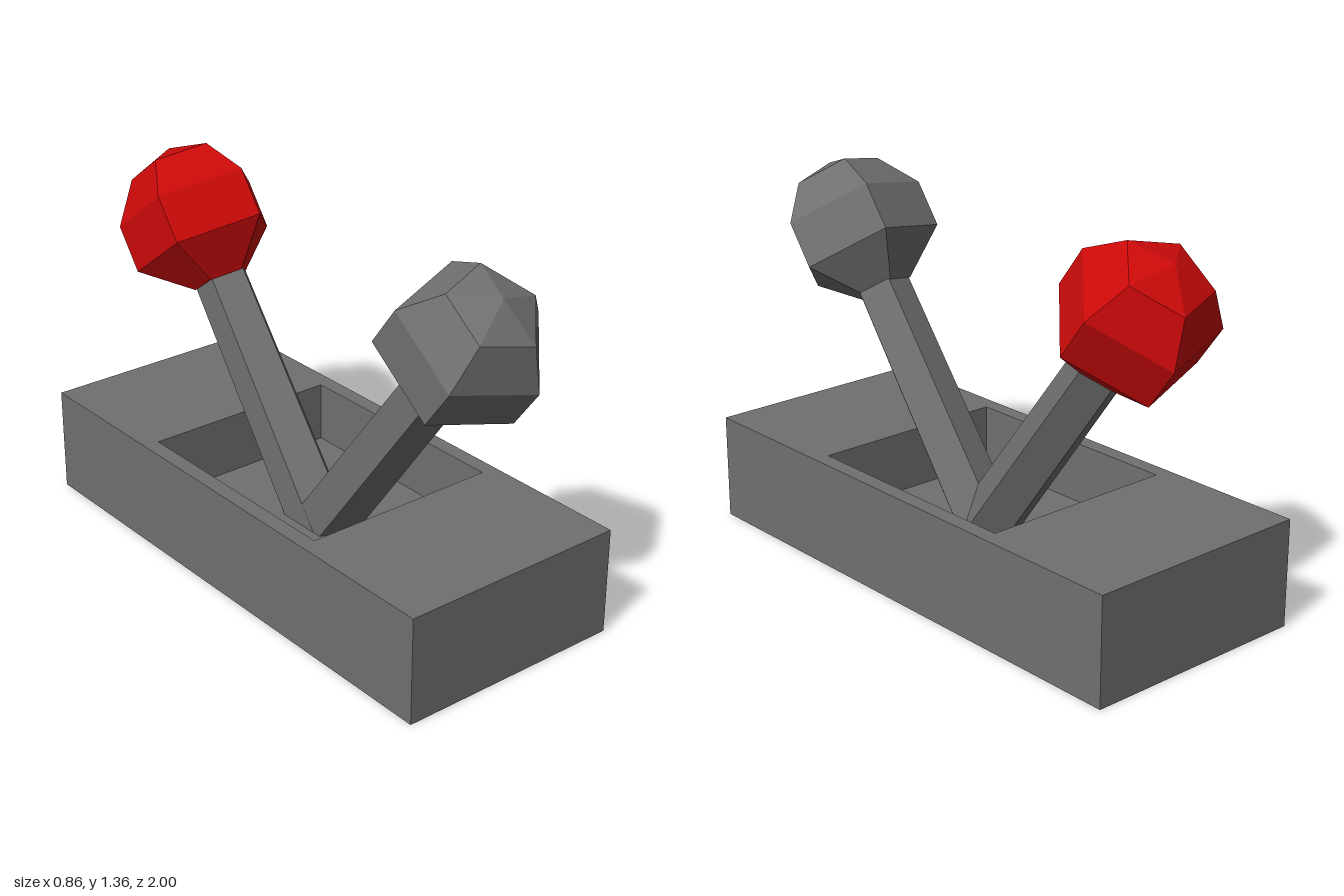
import * as THREE from 'three';

const grey = new THREE.MeshStandardMaterial({ color: 0x707070, flatShading: true });
const red = new THREE.MeshStandardMaterial({ color: 0xca0909, flatShading: true });

const HEIGHT = 0.39, FLOOR = 0.165;     // base top and recess floor
const TILT = Math.atan2(0.6, 0.8);      // lean of each lever
const MIDDLE = 0.034;                   // z where the two levers cross

function addMesh(parent, name, geometry, material) {
  const mesh = new THREE.Mesh(geometry, material);
  mesh.name = name;
  parent.add(mesh);
  return mesh;
}

// Five-sided solid of revolution with one corner on +x
function pentagonLathe(profile) {
  const points = profile.map(([r, y]) => new THREE.Vector2(r, y));
  return new THREE.LatheGeometry(points, 5, Math.PI / 2);
}

function rectangle(path, x0, x1, z) {
  path.moveTo(x0, -z);
  path.lineTo(x1, -z);
  path.lineTo(x1, z);
  path.lineTo(x0, z);
  path.closePath();
  return path;
}

// Solid slab with a rectangular frame on top, forming the recess
function createBase() {
  const base = new THREE.Group();
  base.name = 'base';
  const slab = new THREE.BoxGeometry(0.86, FLOOR, 2).translate(0, FLOOR / 2, 0);
  addMesh(base, 'baseSlab', slab, grey);

  const outline = rectangle(new THREE.Shape(), -0.43, 0.43, 1);
  outline.holes.push(rectangle(new THREE.Path(), -0.372, 0.372, 0.445));
  const frame = new THREE.ExtrudeGeometry(outline, { depth: HEIGHT - FLOOR, bevelEnabled: false });
  frame.rotateX(-Math.PI / 2).translate(0, FLOOR, 0);
  addMesh(base, 'recessFrame', frame, grey);
  return base;
}

// Shaft and faceted knob, leaning to the front (side 1) or back (side -1)
function createLever(name, side, knobMaterial) {
  const lever = new THREE.Group();
  lever.name = name;
  const shaft = pentagonLathe([[0, 0.1], [0.113, 0.1], [0.102, 1.09]]);
  addMesh(lever, 'shaft', shaft, grey).position.x = 0.006;

  // Knob: sphere rings every 36 degrees, its lowest ring narrowed to the shaft
  const R = 0.284, centre = 1.305;
  const profile = [[0.102, 1.076]];
  for (let i = 2; i <= 5; i++) {
    const angle = i * Math.PI / 5;
    profile.push([Math.max(0, R * Math.sin(angle)), centre - R * Math.cos(angle)]);
  }
  addMesh(lever, 'knob', pentagonLathe(profile), knobMaterial);

  lever.position.set(-0.015, 0.034, MIDDLE - side * 0.08);
  lever.rotation.x = side * TILT;
  return lever;
}

export function createModel() {
  const model = new THREE.Group();
  model.name = 'twinLeverSwitch';
  model.add(
    createBase(),
    createLever('frontLever', 1, grey),
    createLever('backLever', -1, red),
  );
  return model;
}
